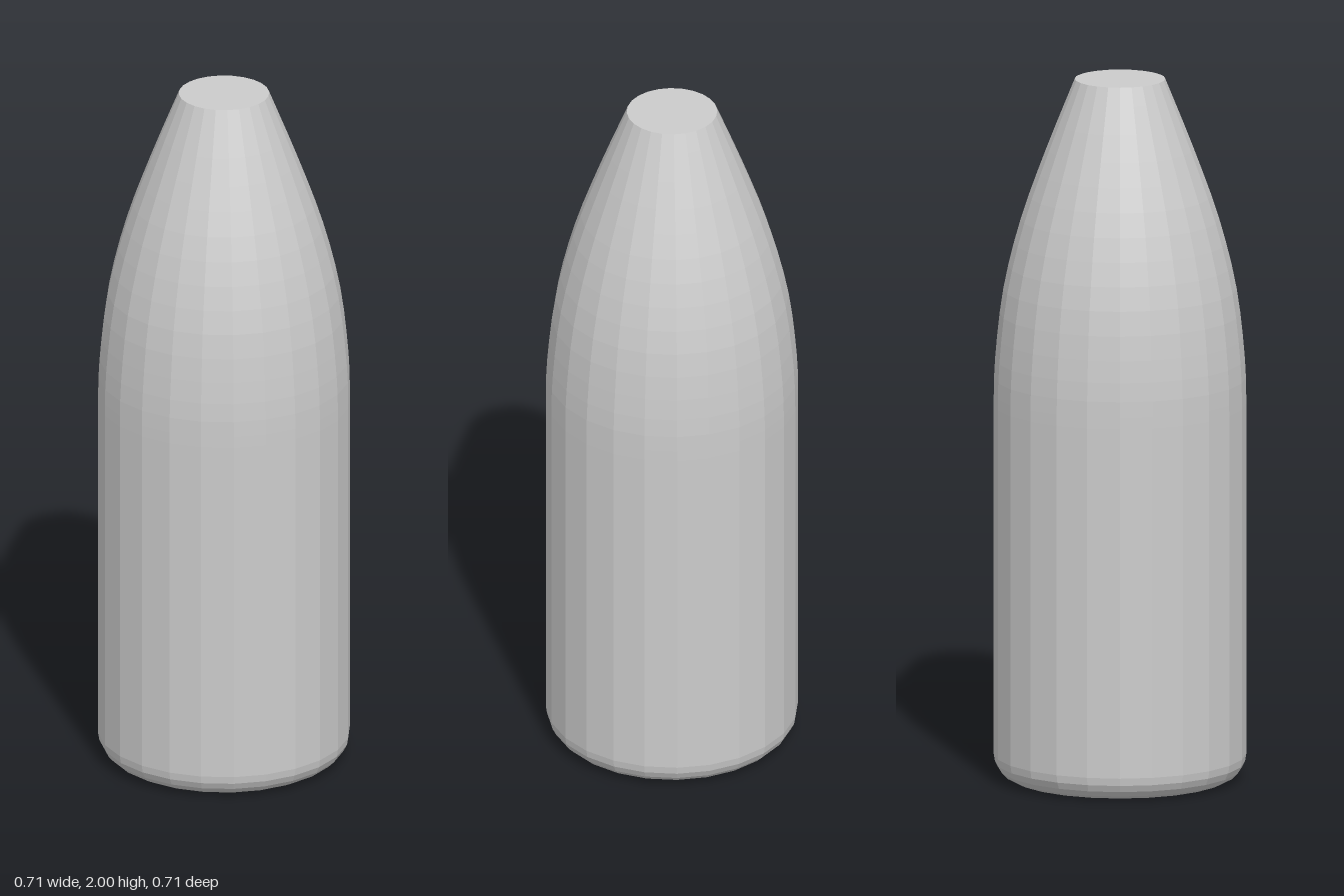
import * as THREE from 'three';

export function createModel() {
  const group = new THREE.Group();
  const material = new THREE.MeshStandardMaterial({ color: 0xcccccc, flatShading: true });
  const sides = 24, radius = 0.354, fillet = 0.07;

  // flat base, then the rounded bottom edge
  const profile = [new THREE.Vector2(0, 0)];
  for (let i = 0; i <= 5; i++) {
    const a = (i / 5) * Math.PI / 2;
    profile.push(new THREE.Vector2(
      radius - fillet + fillet * Math.sin(a),
      fillet - fillet * Math.cos(a)));
  }

  // straight wall up to the shoulder, then the curved taper
  const shoulder = new THREE.SplineCurve([
    [radius, 1.07], [0.35, 1.2], [0.327, 1.4], [0.278, 1.6], [0.207, 1.8], [0.127, 2],
  ].map(([r, y]) => new THREE.Vector2(r, y)));
  profile.push(...shoulder.getPoints(15));

  // flat closed top
  profile.push(new THREE.Vector2(0, 2));

  const bottle = new THREE.Mesh(new THREE.LatheGeometry(profile, sides), material);
  bottle.name = 'bottleBody';
  group.add(bottle);
  return group;
}
